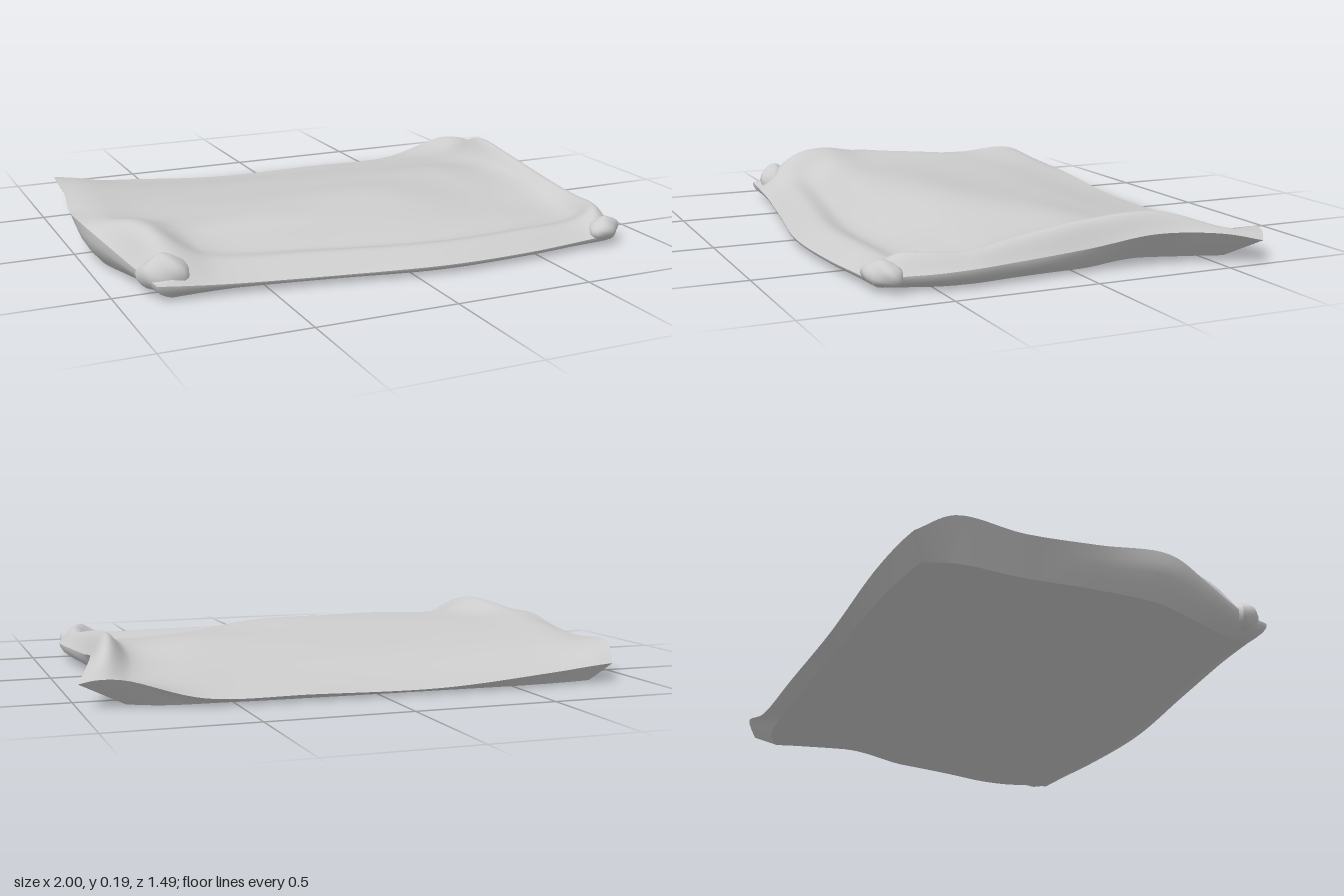
import * as THREE from 'three';

const V = (p) => new THREE.Vector3(...p);
const curve = (pts) => new THREE.CatmullRomCurve3(pts, false, 'centripetal');

// Hem of the padded cloth as x, y, z
const back = curve([[-.88, .075, -.73], [-.7, .065, -.75], [-.34, .03, -.745], [.2, .03, -.73], [.6, .035, -.715], [.83, .1, -.705], [.92, .11, -.68], [1, .09, -.63]].map(V));
const right = curve([[1, .09, -.63], [.92, .13, -.38], [.885, .1, -.1], [.89, .08, .2], [.9, .07, .47], [.85, .06, .63], [.82, .05, .7]].map(V));
const front = curve([[-.88, .07, .62], [-.7, .05, .62], [-.4, .04, .655], [.22, .04, .74], [.6, .04, .71], [.82, .05, .7]].map(V));
const left = curve([[-.88, .075, -.73], [-.93, .14, -.6], [-.93, .135, -.45], [-.965, .12, -.25], [-1, .16, .13], [-.95, .12, .33], [-.9, .08, .5], [-.88, .07, .62]].map(V));

// Folds: knots across and along the cloth, and the heights inside the hem
const US = [0, .045, .14, .35, .59, .78, .92, .965, 1];
const VS = [0, .1, .27, .45, .64, .77, .86, .93, 1];
const HEIGHTS = [
  [.12, .08, .05, .05, .06, .085, .125],
  [.13, .115, .10, .10, .10, .11, .19],
  [.15, .14, .13, .14, .145, .13, .18],
  [.17, .15, .16, .165, .12, .115, .145],
  [.20, .155, .15, .115, .085, .08, .12],
  [.19, .11, .08, .065, .065, .075, .125],
  [.14, .10, .09, .085, .085, .09, .12],
];
const STEPS = 64;

// Point of the patch spanned by the four hem curves
function patch(u, v) {
  const mix = (a, b, t) => a.clone().lerp(b, t);
  const p = mix(back.getPointAt(u), front.getPointAt(u), v);
  p.add(mix(left.getPointAt(v), right.getPointAt(v), u));
  const corners = mix(mix(back.getPoint(0), back.getPoint(1), u), mix(front.getPoint(0), front.getPoint(1), u), v);
  return p.sub(corners);
}

// Surface through rows of points
function surface(rows, flip = false) {
  const n = rows[0].length, pos = rows.flat().flatMap((p) => [p.x, p.y, p.z]), index = [];
  for (let j = 0; j < rows.length - 1; j++) {
    for (let i = 0; i < n - 1; i++) {
      const a = j * n + i, b = a + 1, c = a + n, d = c + 1;
      if (flip) index.push(a, b, c, b, d, c);
      else index.push(a, c, b, b, c, d);
    }
  }
  const geo = new THREE.BufferGeometry();
  geo.setAttribute('position', new THREE.Float32BufferAttribute(pos, 3));
  geo.setIndex(index);
  geo.computeVertexNormals();
  return geo;
}

// Smoothly refine a coarse net of points
function refine(net) {
  const wide = net.map((row) => curve(row).getPoints(STEPS));
  const cols = wide[0].map((_, i) => curve(wide.map((row) => row[i])).getPoints(STEPS));
  return cols[0].map((_, j) => cols.map((col) => col[j]));
}

export function createModel() {
  const group = new THREE.Group();
  const cloth = new THREE.MeshStandardMaterial({ color: 0xcccccc, side: THREE.DoubleSide });
  cloth.name = 'light grey cloth';
  const add = (name, geo) => {
    const mesh = new THREE.Mesh(geo, cloth);
    mesh.name = name;
    group.add(mesh);
    return mesh;
  };

  // Creased upper sheet
  const top = refine(VS.map((v, j) => US.map((u, i) => {
    const p = patch(u, v);
    if (i > 0 && i < 8 && j > 0 && j < 8) p.y = HEIGHTS[j - 1][i - 1];
    return p;
  })));
  add('upperSheet', surface(top));

  // Underside, drawn in from the hem, slightly hollow, tucked under the raised back left edge
  const base = top.map((row) => row.map((p) => {
    const hollow = Math.max(0, 1 - (p.x / .95) ** 2) * Math.max(0, 1 - (p.z / .72) ** 2);
    const tuck = .09 * THREE.MathUtils.smoothstep(p.x, .3, .9) * THREE.MathUtils.smoothstep(-p.z, 0, .35);
    return new THREE.Vector3(p.x * .93 - tuck, .008 + .032 * hollow, p.z * .925);
  }));
  add('underside', surface(base, true));

  // Rounded side wall running round the hem
  const ring = (g) => [
    ...g[STEPS],
    ...g.map((row) => row[STEPS]).reverse().slice(1),
    ...g[0].slice().reverse().slice(1),
    ...g.map((row) => row[0]).slice(1),
  ];
  const hem = ring(top), foot = ring(base);
  const wall = [0, .25, .5, .75, 1].map((t) => hem.map((p, i) => {
    const q = p.clone().lerp(foot[i], t);
    const bulge = 1 + .022 * Math.sin(Math.PI * t) * THREE.MathUtils.smoothstep(p.z, -.3, .2);
    return q.set(q.x * bulge, q.y, q.z * bulge);
  }));
  add('sideWall', surface(wall));

  // Bunched cloth at the two front corners
  const bunch = (name, at, size, turn) => {
    const geo = new THREE.SphereGeometry(1, 20, 14);
    const pos = geo.attributes.position;
    for (let i = 0; i < pos.count; i++) {
      const p = new THREE.Vector3().fromBufferAttribute(pos, i);
      p.multiplyScalar(1 + .12 * Math.sin(4 * p.x + 2 * p.y) * Math.cos(3 * p.z));
      pos.setXYZ(i, p.x, p.y, p.z);
    }
    geo.computeVertexNormals();
    const mesh = add(name, geo);
    mesh.position.set(...at);
    mesh.scale.set(...size);
    mesh.rotation.y = turn;
  };
  bunch('leftCornerBunch', [.8, .065, .66], [.08, .04, .045], .5);
  bunch('rightCornerBunch', [-.83, .085, .54], [.09, .06, .06], -.5);

  return group;
}
